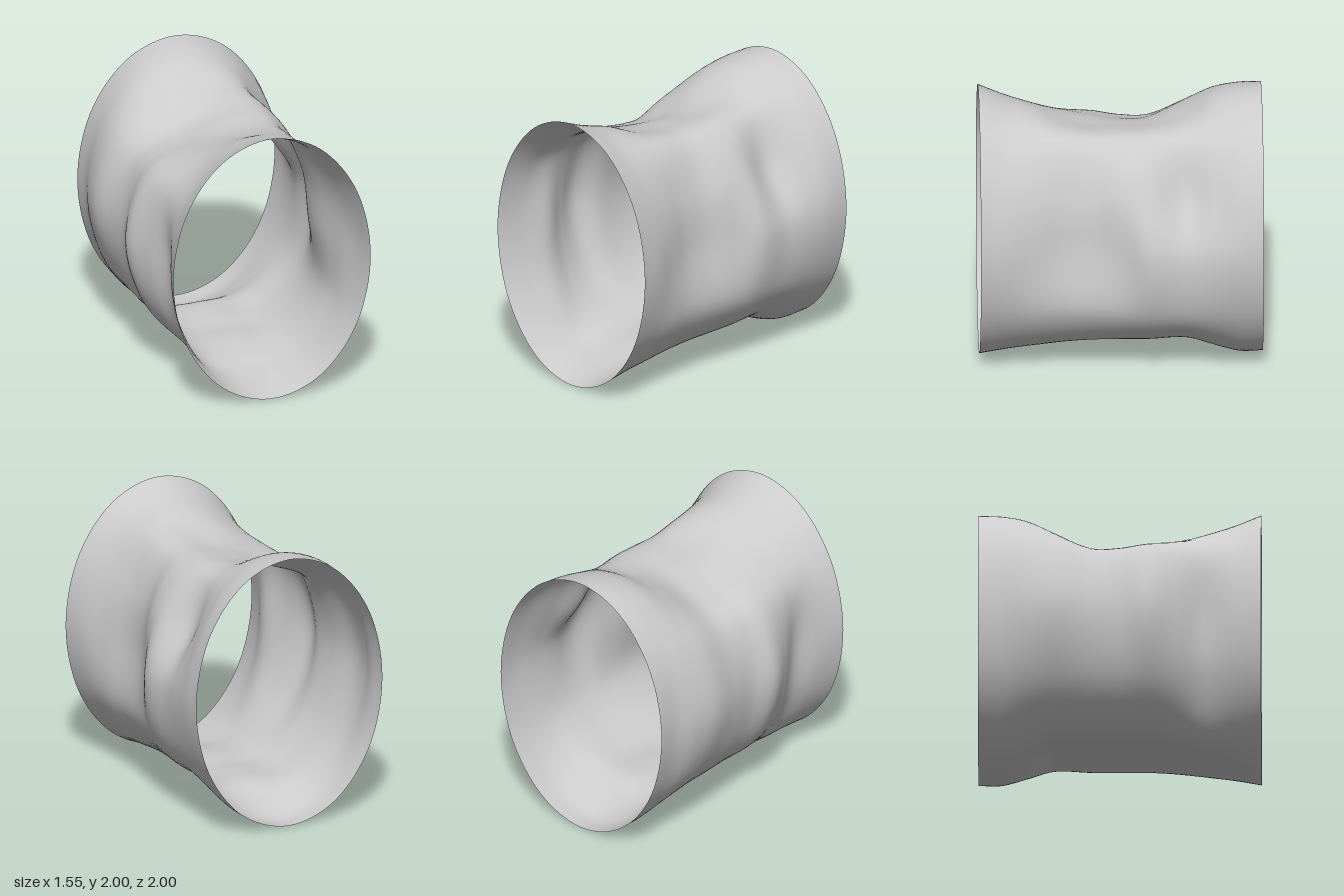
import * as THREE from 'three';

// Cross-sections along z; each row scales the end ellipse at 12 directions,
// every 30 degrees counter-clockwise from +x.
const SECTIONS = [
  { z: 1.0, s: [1, 1, 1, 1, 1, 1, 1, 1, 1, 1, 1, 1] },
  { z: 0.8, s: [0.94, 0.92, 0.93, 0.92, 0.92, 0.95, 0.93, 0.95, 0.98, 0.955, 0.97, 0.97] },
  { z: 0.6, s: [0.84, 0.85, 0.9, 0.86, 0.86, 0.95, 0.85, 0.9, 0.97, 0.91, 0.95, 0.95] },
  { z: 0.4, s: [0.76, 0.79, 0.88, 0.78, 0.82, 0.98, 0.97, 0.97, 0.95, 0.86, 0.93, 0.93] },
  { z: 0.2, s: [0.76, 0.79, 0.86, 0.74, 0.78, 1, 1.08, 1.02, 0.94, 0.835, 0.92, 0.94] },
  { z: 0.0, s: [0.85, 0.87, 0.87, 0.74, 0.75, 0.96, 1.01, 1, 0.94, 0.84, 0.92, 0.97] },
  { z: -0.2, s: [0.98, 0.88, 0.88, 0.75, 0.76, 0.95, 1.03, 1.01, 0.94, 0.825, 0.92, 1] },
  { z: -0.45, s: [0.95, 0.77, 0.88, 0.82, 0.88, 1.02, 1.09, 1.02, 0.94, 0.83, 0.91, 1] },
  { z: -0.65, s: [0.975, 0.87, 0.92, 0.93, 0.97, 1.03, 1.06, 1.02, 0.97, 0.93, 0.96, 1] },
  { z: -0.83, s: [1, 0.96, 0.97, 0.98, 1, 1.01, 1, 1, 1, 1, 1, 1] },
  { z: -1.0, s: [1, 1, 1, 1, 1, 1, 1, 1, 1, 1, 1, 1] },
];
const DIRECTIONS = 12;
const RINGS = 80;
const SIDES = 96;

// Lengthwise spline through one direction of every section
function lengthCurve(k) {
  const t = (k / DIRECTIONS) * Math.PI * 2;
  const points = SECTIONS.map(({ z, s }) =>
    new THREE.Vector3(0.03 + 0.74 * s[k] * Math.cos(t), 1 + 0.995 * s[k] * Math.sin(t), z));
  return new THREE.CatmullRomCurve3(points, false, 'catmullrom', 0.5);
}

// Smooth skin lofted through closed rings
function loftGeometry() {
  const lengths = Array.from({ length: DIRECTIONS }, (_, k) => lengthCurve(k));
  const positions = [];
  const index = [];
  for (let i = 0; i <= RINGS; i++) {
    const ring = new THREE.CatmullRomCurve3(
      lengths.map((c) => c.getPoint(i / RINGS)), true, 'catmullrom', 0.5);
    for (let j = 0; j < SIDES; j++) positions.push(...ring.getPoint(j / SIDES).toArray());
  }
  for (let i = 0; i < RINGS; i++) {
    for (let j = 0; j < SIDES; j++) {
      const a = i * SIDES + j;
      const b = i * SIDES + ((j + 1) % SIDES);
      index.push(a, a + SIDES, b, b, a + SIDES, b + SIDES);
    }
  }
  const geometry = new THREE.BufferGeometry();
  geometry.setAttribute('position', new THREE.Float32BufferAttribute(positions, 3));
  geometry.setIndex(index);
  geometry.computeVertexNormals();
  return geometry;
}

export function createModel() {
  const group = new THREE.Group();
  group.name = 'openSleeve';
  const material = new THREE.MeshStandardMaterial({ color: 0xcccccc, side: THREE.DoubleSide });
  const skin = new THREE.Mesh(loftGeometry(), material);
  skin.name = 'dentedTube';
  group.add(skin);
  return group;
}
